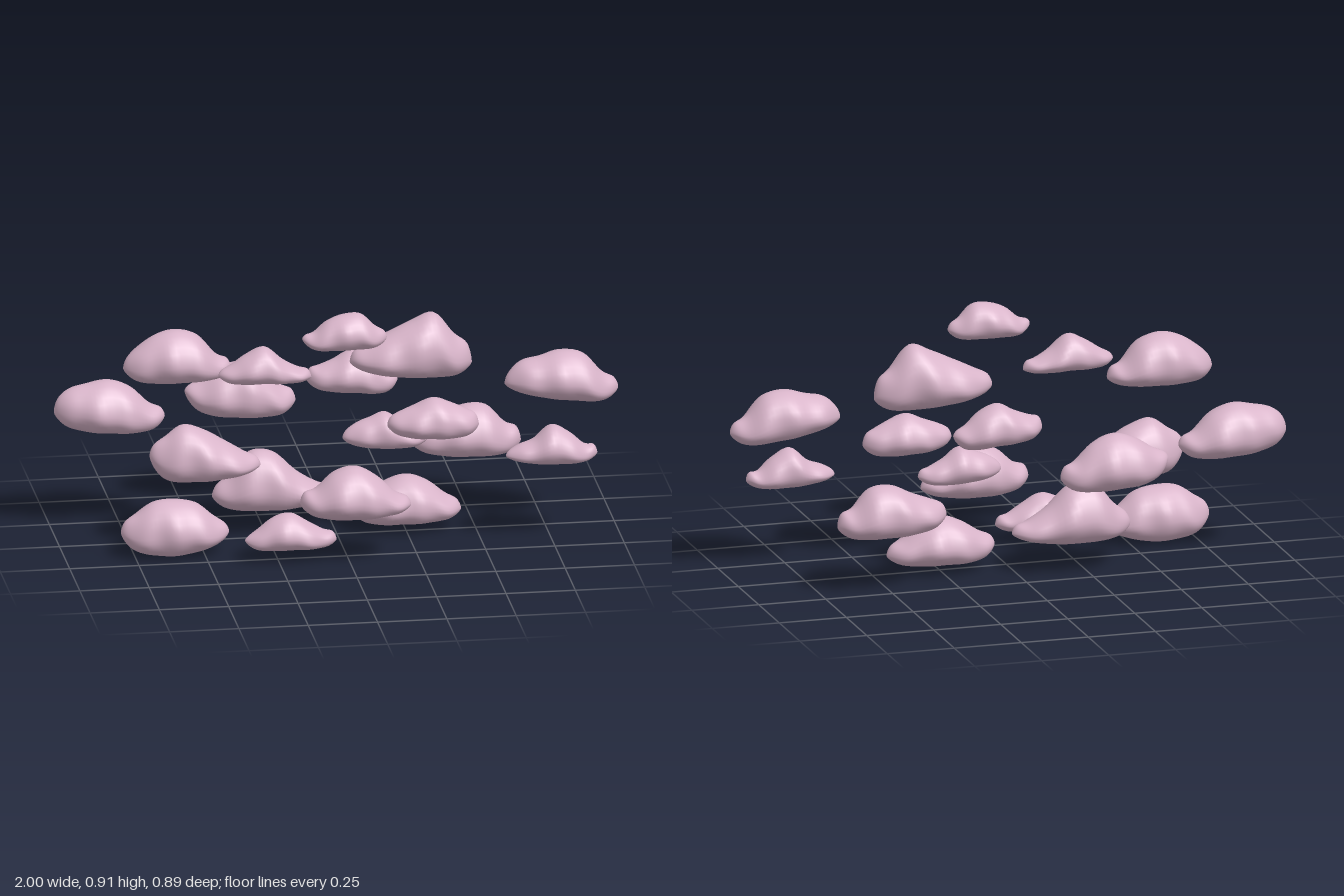
import * as THREE from 'three';

const RINGS = 40, SIDES = 28;

// Smooth curve through evenly spaced heights
function heights(values) {
  const curve = new THREE.SplineCurve(values.map((v, i) => new THREE.Vector2(i, v)));
  return (t) => curve.getPoint(t).y;
}

// One puffy cloud: rounded cross-sections strung along x between two tips.
// top: 9 heights from left tip to right tip, bottom: 3 heights between the tips.
// Stations are spaced by angle, so they crowd at the tips and round them off.
function cloudGeometry(x0, x1, z, halfDepth, top, bottom, phase) {
  const topAt = heights(top);
  const bottomAt = heights([top[0], ...bottom, top[8]]);
  const pos = [x0, top[0], z], index = [];

  for (let i = 1; i < RINGS; i++) {
    const t = i / RINGS, angle = t * Math.PI;
    const u = (1 - Math.cos(angle)) / 2;
    const yTop = topAt(t), yLow = bottomAt(t);
    const mid = yLow + 0.44 * (yTop - yLow);
    // Lobes swell and pinch the sides along the length
    const ripple = Math.cos(u * 22 + phase);
    const depth = halfDepth * Math.pow(Math.sin(angle), 1.2) * (0.97 + 0.05 * ripple);
    for (let j = 0; j < SIDES; j++) {
      const a = (j / SIDES) * Math.PI * 2;
      const s = Math.sin(a), c = Math.cos(a);
      const pinch = 1 - 0.1 * Math.max(s, 0) * s;
      const lump = 1 + 0.035 * Math.sin(3 * a + u * 9 + phase) * c * c;
      pos.push(
        x0 + (x1 - x0) * u,
        mid + s * (s > 0 ? yTop - mid : mid - yLow),
        z + c * depth * pinch * lump
      );
    }
  }
  const last = pos.length / 3;
  pos.push(x1, top[8], z);

  const at = (i, j) => 1 + (i - 1) * SIDES + (j % SIDES);
  for (let j = 0; j < SIDES; j++) {
    index.push(0, at(1, j), at(1, j + 1));
    for (let i = 1; i < RINGS - 1; i++) {
      index.push(at(i, j), at(i + 1, j), at(i, j + 1));
      index.push(at(i + 1, j), at(i + 1, j + 1), at(i, j + 1));
    }
    index.push(at(RINGS - 1, j), last, at(RINGS - 1, j + 1));
  }

  const geometry = new THREE.BufferGeometry();
  geometry.setAttribute('position', new THREE.Float32BufferAttribute(pos, 3));
  geometry.setIndex(index);
  geometry.computeVertexNormals();
  return geometry;
}

export function createModel() {
  const group = new THREE.Group();
  group.name = 'cloudCluster';
  const pink = new THREE.MeshStandardMaterial({ color: 0xd9b5ca });
  pink.name = 'dusty pink';

  let count = 0;
  function cloud(x0, x1, z, halfDepth, top, bottom) {
    count++;
    const mesh = new THREE.Mesh(cloudGeometry(x0, x1, z, halfDepth, top, bottom, count * 1.7), pink);
    mesh.name = 'cloud' + count;
    group.add(mesh);
  }

  // Highest clouds
  cloud(-0.16, 0.145, 0.24, 0.08, [0.82, 0.835, 0.845, 0.885, 0.905, 0.905, 0.86, 0.84, 0.815], [0.78, 0.775, 0.78]);
  cloud(-0.775, -0.385, 0.03, 0.11, [0.67, 0.71, 0.75, 0.79, 0.805, 0.78, 0.71, 0.69, 0.65], [0.62, 0.61, 0.62]);
  cloud(-0.455, -0.12, 0.19, 0.08, [0.68, 0.70, 0.72, 0.755, 0.78, 0.73, 0.70, 0.69, 0.66], [0.65, 0.645, 0.645]);
  cloud(0.04, 0.48, 0.045, 0.115, [0.66, 0.70, 0.725, 0.76, 0.80, 0.83, 0.75, 0.71, 0.64], [0.62, 0.595, 0.595]);
  cloud(0.59, 1.0, 0.1, 0.11, [0.57, 0.61, 0.65, 0.665, 0.685, 0.67, 0.60, 0.575, 0.54], [0.535, 0.505, 0.495]);

  // Middle clouds
  cloud(-0.09, 0.24, -0.14, 0.09, [0.54, 0.58, 0.59, 0.61, 0.64, 0.615, 0.57, 0.55, 0.53], [0.50, 0.485, 0.48]);
  cloud(0.16, 0.49, 0.15, 0.09, [0.45, 0.48, 0.50, 0.52, 0.545, 0.525, 0.50, 0.48, 0.44], [0.41, 0.395, 0.40]);
  cloud(0.02, 0.33, 0, 0.075, [0.36, 0.385, 0.41, 0.43, 0.45, 0.41, 0.385, 0.375, 0.35], [0.33, 0.315, 0.32]);
  cloud(0.58, 0.91, 0.2, 0.08, [0.33, 0.35, 0.37, 0.39, 0.44, 0.41, 0.365, 0.36, 0.33], [0.31, 0.295, 0.30]);
  cloud(-1.0, -0.6, -0.14, 0.11, [0.46, 0.51, 0.545, 0.56, 0.57, 0.54, 0.48, 0.46, 0.43], [0.40, 0.375, 0.38]);
  cloud(-0.5, -0.1, -0.335, 0.11, [0.45, 0.47, 0.49, 0.53, 0.55, 0.52, 0.46, 0.44, 0.40], [0.37, 0.345, 0.35]);
  cloud(-0.69, -0.29, 0.1, 0.11, [0.36, 0.40, 0.43, 0.47, 0.445, 0.40, 0.36, 0.34, 0.31], [0.27, 0.26, 0.28]);
  cloud(0.29, 0.695, -0.215, 0.11, [0.27, 0.31, 0.33, 0.355, 0.39, 0.385, 0.32, 0.30, 0.25], [0.22, 0.20, 0.205]);

  // Lowest clouds
  cloud(-0.18, 0.22, 0.325, 0.115, [0.23, 0.27, 0.285, 0.34, 0.36, 0.32, 0.26, 0.24, 0.21], [0.18, 0.165, 0.18]);
  cloud(-0.44, 0, -0.07, 0.11, [0.14, 0.18, 0.22, 0.30, 0.295, 0.22, 0.175, 0.16, 0.13], [0.09, 0.08, 0.10]);
  cloud(-0.8, -0.41, 0.145, 0.11, [0.09, 0.13, 0.16, 0.20, 0.205, 0.19, 0.14, 0.11, 0.08], [0.02, 0, 0.03]);
  cloud(-0.37, -0.04, 0.265, 0.08, [0.08, 0.095, 0.12, 0.16, 0.175, 0.14, 0.11, 0.10, 0.07], [0.045, 0.04, 0.045]);
  cloud(0.05, 0.45, -0.015, 0.115, [0.09, 0.12, 0.14, 0.18, 0.205, 0.18, 0.13, 0.105, 0.07], [0.035, 0.025, 0.035]);

  return group;
}
